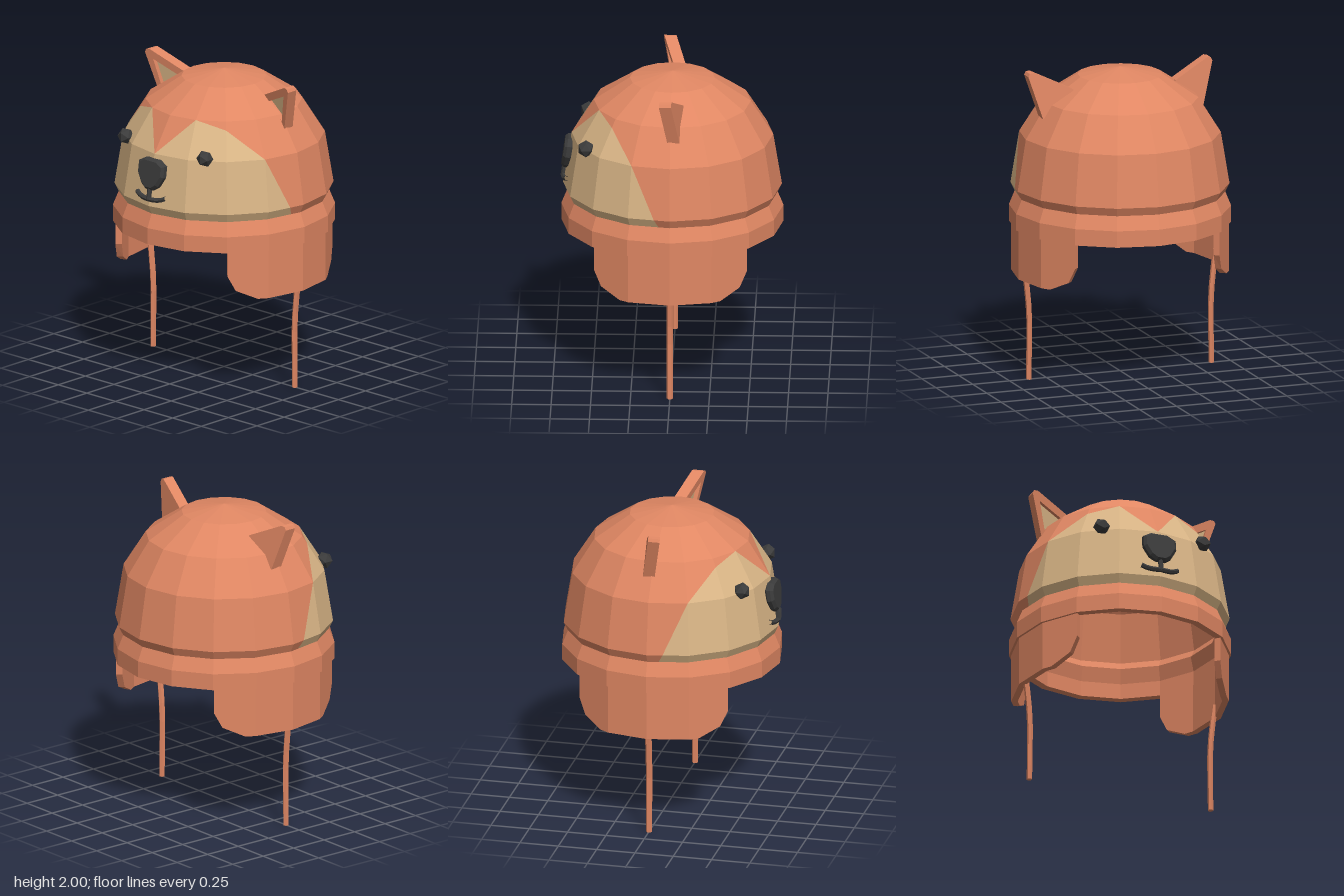
import * as THREE from 'three';

const mat = (color) => new THREE.MeshStandardMaterial({ color, flatShading: true, side: THREE.DoubleSide });
const fur = mat(0xe08763), cream = mat(0xd9b586), dark = mat(0x3c3c3c);
const SIDES = 16;

function add(parent, name, geometry, material) {
  const mesh = new THREE.Mesh(geometry, material);
  mesh.name = name;
  parent.add(mesh);
  return mesh;
}

function fromTriangles(positions) {
  const g = new THREE.BufferGeometry();
  g.setAttribute('position', new THREE.Float32BufferAttribute(positions, 3));
  g.computeVertexNormals();
  return g;
}

// Dome rings [radius, y], and the height of the face patch at each facet corner
const RINGS = [[0.668, 1.175], [0.695, 1.23], [0.64, 1.565], [0.498, 1.79], [0.27, 1.942], [0, 1.99]];
const PATCH = [1.565, 1.79, 1.74, 1.565, 1.025];

// Point on the faceted dome: a counts facets from the front towards +x
function domePoint(a, y, inner) {
  let i = 0;
  while (i < RINGS.length - 2 && y > RINGS[i + 1][1]) i++;
  const [r0, y0] = RINGS[i], [r1, y1] = RINGS[i + 1];
  const r = THREE.MathUtils.lerp(r0, r1, (y - y0) / (y1 - y0));
  const f = Math.floor(a), t = a - f, step = (Math.PI * 2) / SIDES;
  const s = inner ? 0.95 : 1;
  const at = (fn) => r * s * THREE.MathUtils.lerp(fn(f * step), fn((f + 1) * step), t);
  return [at(Math.sin), 1.175 + (y - 1.175) * s, at(Math.cos)];
}

// Keep the part of a polygon where side(point) >= 0
function clip(poly, side) {
  const out = [];
  poly.forEach((p, i) => {
    const q = poly[(i + 1) % poly.length], sp = side(p), sq = side(q);
    if (sp >= 0) out.push(p);
    if (sp * sq < 0) {
      const t = sp / (sp - sq);
      out.push([p[0] + (q[0] - p[0]) * t, p[1] + (q[1] - p[1]) * t]);
    }
  });
  return out;
}

// Dome shell, each facet split along the edge of the face patch
function buildDome(parent) {
  const tris = { fur: [], cream: [] };
  const emit = (list, poly) => {
    for (const inner of [false, true]) {
      const pts = poly.map(([a, y]) => domePoint(a, y, inner));
      if (inner) pts.reverse();
      for (let k = 1; k < pts.length - 1; k++) list.push(...pts[0], ...pts[k], ...pts[k + 1]);
    }
  };
  for (let f = 0; f < SIDES; f++) {
    const a = f - SIDES / 2, b = a + 1;
    const ha = PATCH[Math.abs(a)] ?? 0, hb = PATCH[Math.abs(b)] ?? 0;
    const outside = ha === 0 || hb === 0;
    const below = ([x, y]) => (outside ? -1 : ha + (hb - ha) * (x - a) - y);
    for (let i = 0; i < RINGS.length - 1; i++) {
      const lo = RINGS[i][1], hi = RINGS[i + 1][1];
      const cell = [[a, lo], [b, lo], [b, hi], [a, hi]];
      emit(tris.cream, clip(cell, below));
      emit(tris.fur, clip(cell, (p) => -below(p)));
    }
  }
  add(parent, 'dome', fromTriangles(tris.fur), fur);
  add(parent, 'facePatch', fromTriangles(tris.cream), cream);
}

// Curved ear flap: columns [z, bottom] following the facets of the band
function flapGeometry(side) {
  const half = [[0.485, 0.82], [0.44, 0.72], [0.32, 0.657], [0.264, 0.657]];
  const cols = [...half, [0, 0.657], ...half.map(([z, y]) => [-z, y]).reverse()];
  const outerX = (z) => {
    const t = Math.abs(z);
    return t < 0.264 ? 0.69 - t * 0.199 : 0.6375 - (t - 0.264) * 0.668;
  };
  const sections = cols.map(([z, low]) => {
    const x = outerX(z) * side, k = 0.94;
    return [[x, 0.98, z], [x, low, z], [x * k, low, z * k], [x * k, 0.98, z * k]];
  });
  const out = [];
  const quad = (a, b, c, d) => {
    const order = side > 0 ? [a, b, c, a, c, d] : [a, c, b, a, d, c];
    order.forEach((p) => out.push(...p));
  };
  for (let i = 0; i < sections.length - 1; i++) {
    const s = sections[i], n = sections[i + 1];
    for (let j = 0; j < 4; j++) quad(s[j], s[(j + 1) % 4], n[(j + 1) % 4], n[j]);
  }
  quad(...[...sections[0]].reverse());
  quad(...sections[sections.length - 1]);
  return fromTriangles(out);
}

// Thin hanging strap, bent gently along its length
function strapGeometry() {
  const path = new THREE.CatmullRomCurve3([[0.62, 0], [0.618, 0.2], [0.616, 0.4], [0.628, 0.62], [0.65, 0.74]]
    .map(([x, y]) => new THREE.Vector3(x, y, 0)));
  const g = new THREE.CylinderGeometry(0.022, 0.02, 0.74, 6, 6);
  const p = g.attributes.position;
  for (let i = 0; i < p.count; i++) {
    const t = THREE.MathUtils.clamp(p.getY(i) / 0.74 + 0.5, 0, 1);
    p.setXYZ(i, path.getPoint(t).x + p.getX(i) * 0.85, t * 0.74, p.getZ(i));
  }
  return g;
}

const toPath = (pts, Kind = THREE.Shape) => new Kind(pts.map(([x, y]) => new THREE.Vector2(x, y)));

// Ear: back plate, raised rim and a recessed lining, leaning with the head
function buildEar(name, side) {
  const ear = new THREE.Group();
  ear.name = name;
  const outline = [[0.625, 1.975], [0.615, 1.995], [0.59, 2], [0.345, 1.885], [0.36, 1.76], [0.545, 1.705]];
  const opening = [[0.57, 1.935], [0.385, 1.85], [0.525, 1.755]];
  const lean = (g, z) => {
    const p = g.attributes.position;
    for (let i = 0; i < p.count; i++) {
      const x = p.getX(i), y = p.getY(i);
      p.setZ(i, p.getZ(i) + z + 0.22 * (x - 0.62) + 0.125 * (y - 2));
    }
    g.computeVertexNormals();
    return g;
  };
  const rim = toPath(outline);
  rim.holes.push(toPath(opening, THREE.Path));
  const opts = (depth) => ({ depth, bevelEnabled: false });
  add(ear, 'earBack', lean(new THREE.ExtrudeGeometry(toPath(outline), opts(0.045)), -0.005), fur);
  add(ear, 'earRim', lean(new THREE.ExtrudeGeometry(rim, opts(0.032)), 0.04), fur);
  add(ear, 'earLining', lean(new THREE.ShapeGeometry(toPath(opening)), 0.045), cream);
  ear.scale.x = side;
  return ear;
}

export function createModel() {
  const model = new THREE.Group();
  model.name = 'animalHat';
  buildDome(model);

  // Band around the opening, with an inner wall
  const band = [[0.63, 1.175], [0.655, 1.08], [0.655, 0.978], [0.705, 0.978], [0.705, 1.085], [0.668, 1.175]];
  add(model, 'band', new THREE.LatheGeometry(band.map(([r, y]) => new THREE.Vector2(r, y)), SIDES), fur);

  for (const side of [1, -1]) {
    const word = side > 0 ? 'left' : 'right';
    add(model, word + 'Flap', flapGeometry(side), fur);
    add(model, word + 'Strap', strapGeometry(), fur).scale.x = side;
    model.add(buildEar(word + 'Ear', side));
    add(model, word + 'Eye', new THREE.IcosahedronGeometry(0.055, 0), dark).position.set(0.345 * side, 1.585, 0.54);
  }

  // Nose: bevelled shield leaning back with the dome
  const half = [[0.05, 0.085], [0.095, 0.06], [0.095, 0], [0.06, -0.06], [0.025, -0.085]];
  const shield = toPath([...half, ...half.map(([x, y]) => [-x, y]).reverse()]);
  const nose = add(model, 'nose', new THREE.ExtrudeGeometry(shield,
    { depth: 0.025, bevelThickness: 0.018, bevelSize: 0.016, bevelSegments: 1 }), dark);
  nose.position.set(0, 1.435, 0.65);
  nose.rotation.x = -0.15;

  // Mouth: a short stem and a shallow smile
  const smile = new THREE.CatmullRomCurve3([[-0.123, 1.3, 0.668], [-0.08, 1.281, 0.68], [0, 1.276, 0.693],
    [0.08, 1.281, 0.68], [0.123, 1.3, 0.668]].map((p) => new THREE.Vector3(...p)));
  add(model, 'mouth', new THREE.TubeGeometry(smile, 8, 0.016, 6), dark);
  const stem = add(model, 'mouthStem', new THREE.CylinderGeometry(0.016, 0.016, 0.09, 6), dark);
  stem.position.set(0, 1.315, 0.688);
  stem.rotation.x = -0.15;
  return model;
}
